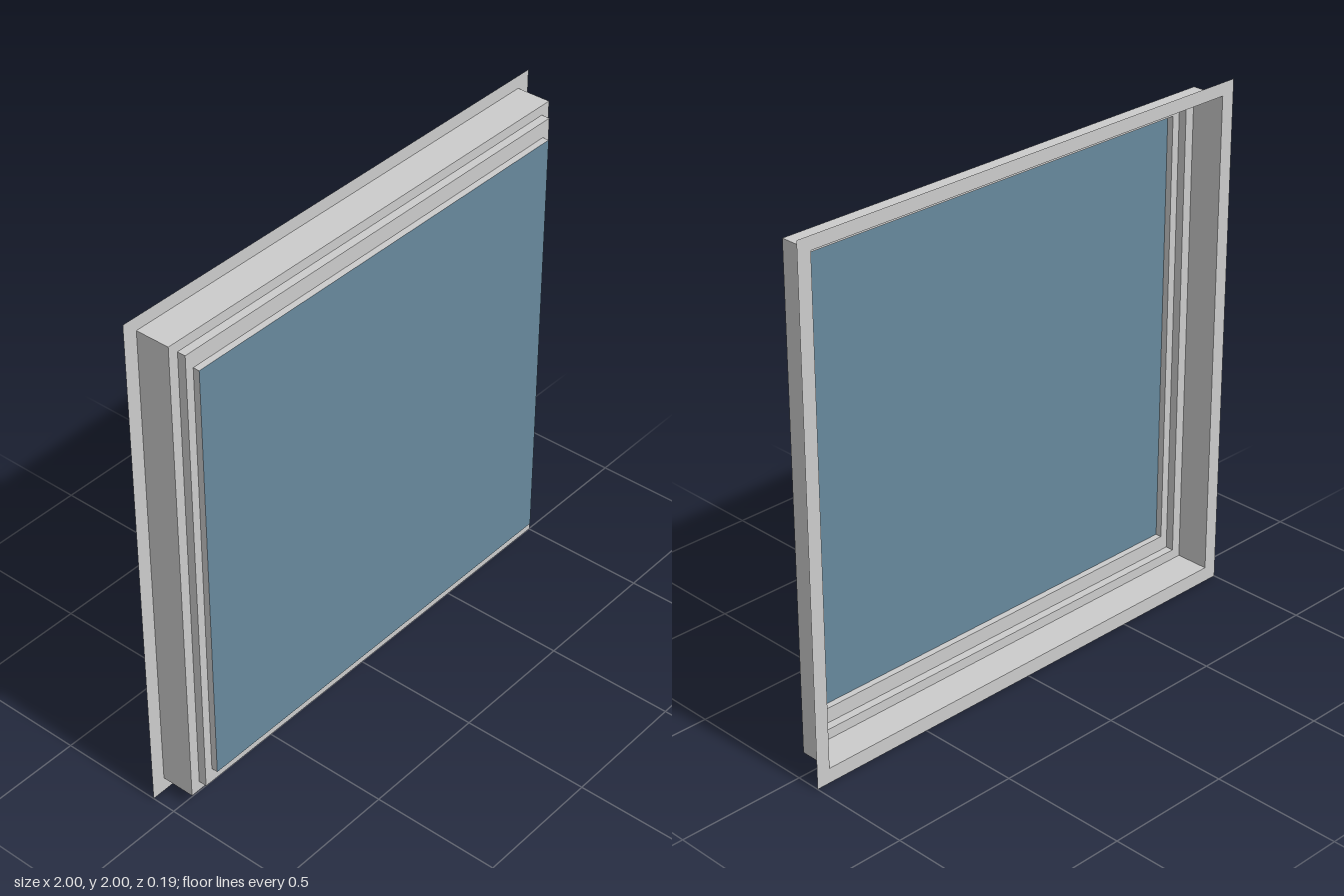
import * as THREE from 'three';

const frameGrey = new THREE.MeshStandardMaterial({ color: 0xcccccc, side: THREE.DoubleSide });
frameGrey.name = 'frame grey';
const glassBlue = new THREE.MeshStandardMaterial({ color: 0x67899d, side: THREE.DoubleSide });
glassBlue.name = 'glass blue';

// Rectangular rings from the rear flange to the pane: half width, bottom, top, depth
const rings = [
  [1, 0, 2, -0.095],
  [0.945, 0.058, 1.95, -0.095],
  [0.945, 0.058, 1.95, 0.038],
  [0.907, 0.097, 1.912, 0.038],
  [0.907, 0.097, 1.912, 0.07],
  [0.875, 0.155, 1.85, 0.07],
  [0.875, 0.155, 1.85, 0.095],
];
const names = ['rearFlange', 'outerCasing', 'outerStep', 'middleCasing', 'innerStep', 'innerCasing'];

const corners = ([w, bottom, top, z]) => [[-w, bottom, z], [w, bottom, z], [w, top, z], [-w, top, z]];

// Four flat faces joining one ring to the next
function band(from, to) {
  const a = corners(from), b = corners(to), points = [];
  for (let i = 0; i < 4; i++) {
    const j = (i + 1) % 4;
    for (const p of [a[i], a[j], b[j], a[i], b[j], b[i]]) points.push(...p);
  }
  const geometry = new THREE.BufferGeometry();
  geometry.setAttribute('position', new THREE.Float32BufferAttribute(points, 3));
  geometry.computeVertexNormals();
  return geometry;
}

export function createModel() {
  const model = new THREE.Group();
  model.name = 'window';

  // Stepped, open-backed frame
  const frame = new THREE.Group();
  frame.name = 'frame';
  names.forEach((name, i) => {
    const mesh = new THREE.Mesh(band(rings[i], rings[i + 1]), frameGrey);
    mesh.name = name;
    frame.add(mesh);
  });
  model.add(frame);

  // Pane closing the front opening
  const [w, bottom, top, z] = rings[rings.length - 1];
  const pane = new THREE.Mesh(new THREE.PlaneGeometry(2 * w, top - bottom), glassBlue);
  pane.name = 'glassPane';
  pane.position.set(0, (bottom + top) / 2, z);
  model.add(pane);
  return model;
}
